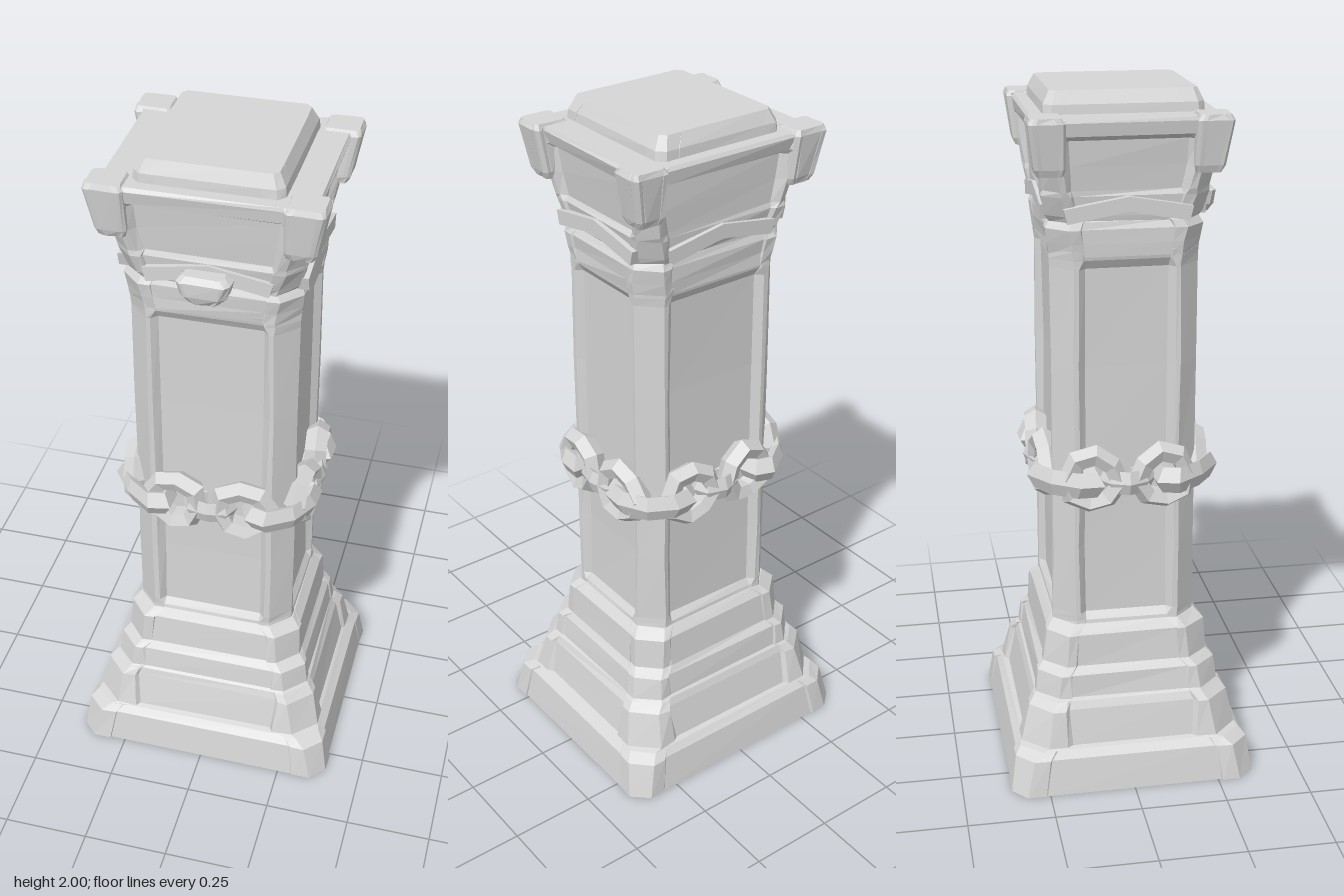
import * as THREE from 'three';

const stone = new THREE.MeshStandardMaterial({ color: 0xd6d6d6, flatShading: true });
stone.name = 'stone';

// Small repeatable unevenness for the hewn look
const rough = (a, b) => {
  const s = Math.sin(a * 12.9898 + b * 78.233) * 43758.5453;
  return (s - Math.floor(s) - 0.5) * 2;
};

// Rectangle with chamfered corner posts (c = chamfer, w = post width, d = side recess)
function ringPoints([y, hx, hz, c, w, d]) {
  const quad = [
    [hx - d, hz - w], [hx, hz - w + d], [hx, hz - c],
    [hx - c, hz], [hx - w + d, hz], [hx - w, hz - d],
  ];
  const pts = [];
  [[1, 1], [-1, 1], [-1, -1], [1, -1]].forEach(([sx, sz], q) => {
    const list = q % 2 ? [...quad].reverse() : quad;
    list.forEach(([x, z]) => pts.push([x * sx, y, z * sz]));
  });
  return pts;
}

// Skin a stack of rings and close both ends
function loft(rings, wobble = 0.003) {
  const n = 24, pos = [], idx = [];
  rings.forEach((r, k) => ringPoints(r).forEach(([x, y, z], i) => {
    pos.push(x + rough(k + 1, i) * wobble, y, z + rough(i + 7, k) * wobble);
  }));
  for (let k = 0; k < rings.length - 1; k++) {
    for (let i = 0; i < n; i++) {
      const a = k * n + i, b = k * n + (i + 1) % n;
      idx.push(a, a + n, b, b, a + n, b + n);
    }
  }
  const last = (rings.length - 1) * n, c0 = pos.length / 3;
  pos.push(0, rings[0][0], 0, 0, rings[rings.length - 1][0], 0);
  for (let i = 0; i < n; i++) {
    const j = (i + 1) % n;
    idx.push(c0, i, j, c0 + 1, last + j, last + i);
  }
  const g = new THREE.BufferGeometry();
  g.setAttribute('position', new THREE.Float32BufferAttribute(pos, 3));
  g.setIndex(idx);
  g.computeVertexNormals();
  return g;
}

function add(parent, name, geometry) {
  const m = new THREE.Mesh(geometry, stone);
  m.name = name;
  parent.add(m);
  return m;
}

// Chunky oval chain link: long and wide are half sizes in its own plane
function linkGeometry(long, wide, tube, seed) {
  const g = new THREE.TorusGeometry(1, 0.42, 5, 8);
  const p = g.attributes.position;
  for (let i = 0; i < p.count; i++) {
    const x = p.getX(i), y = p.getY(i), z = p.getZ(i);
    const k = 1 + 0.06 * Math.sin(3 * Math.atan2(y, x) + seed);
    p.setXYZ(i, x * long / 1.4 * k, y * wide / 1.4 * k, z * tube / 0.42);
  }
  g.computeVertexNormals();
  return g;
}

export function createModel() {
  const model = new THREE.Group();
  model.name = 'stonePillar';

  // Stepped base, hollow underneath
  add(model, 'steppedBase', loft([
    [0.25, 0.26, 0.23, 0.06, 0.09, 0],
    [0.13, 0.30, 0.27, 0.06, 0.09, 0],
    [0.12, 0.345, 0.315, 0.05, 0.09, 0],
    [0.005, 0.375, 0.345, 0.045, 0.09, 0],
    [0.005, 0.394, 0.361, 0.045, 0.10, 0.003],
    [0.11, 0.376, 0.344, 0.05, 0.10, 0.005],
    [0.13, 0.356, 0.324, 0.055, 0.10, 0.006],
    [0.135, 0.35, 0.318, 0.07, 0.14, 0.012],
    [0.24, 0.328, 0.294, 0.065, 0.11, 0.012],
    [0.262, 0.31, 0.278, 0.065, 0.10, 0.006],
    [0.268, 0.300, 0.269, 0.06, 0.10, 0.004],
    [0.335, 0.292, 0.26, 0.06, 0.09, 0.004],
    [0.355, 0.272, 0.242, 0.06, 0.09, 0.003],
    [0.45, 0.265, 0.233, 0.06, 0.09, 0.004],
    [0.475, 0.24, 0.21, 0.058, 0.09, 0],
  ]));

  // Shaft with corner posts and recessed panels
  add(model, 'shaft', loft([
    [0.46, 0.238, 0.208, 0.058, 0.085, 0],
    [0.485, 0.237, 0.207, 0.058, 0.088, 0.003],
    [0.505, 0.236, 0.207, 0.058, 0.09, 0.018],
    [0.72, 0.235, 0.206, 0.055, 0.088, 0.02],
    [0.95, 0.235, 0.206, 0.058, 0.09, 0.018],
    [1.25, 0.234, 0.205, 0.055, 0.088, 0.02],
    [1.53, 0.234, 0.205, 0.058, 0.09, 0.018],
    [1.555, 0.235, 0.206, 0.058, 0.088, 0.003],
    [1.58, 0.236, 0.207, 0.058, 0.085, 0],
  ], 0.002));

  // Collar under the capital
  add(model, 'collar', loft([
    [1.565, 0.235, 0.206, 0.058, 0.09, 0],
    [1.60, 0.241, 0.211, 0.058, 0.09, 0.003],
    [1.64, 0.245, 0.215, 0.055, 0.09, 0.004],
    [1.66, 0.236, 0.206, 0.055, 0.09, 0.004],
    [1.67, 0.215, 0.185, 0.055, 0.09, 0],
  ]));

  // Flared capital
  add(model, 'capital', loft([
    [1.655, 0.23, 0.205, 0.05, 0.08, 0.004],
    [1.675, 0.238, 0.215, 0.05, 0.08, 0.006],
    [1.73, 0.25, 0.226, 0.045, 0.08, 0.008],
    [1.745, 0.252, 0.228, 0.045, 0.08, 0.016],
    [1.81, 0.264, 0.239, 0.04, 0.08, 0.02],
    [1.88, 0.27, 0.243, 0.04, 0.08, 0.02],
    [1.895, 0.282, 0.252, 0.04, 0.08, 0.004],
    [1.93, 0.291, 0.262, 0.04, 0.08, 0.004],
    [1.94, 0.281, 0.252, 0.04, 0.08, 0],
  ], 0.004));

  // Bevelled slab on top
  add(model, 'topSlab', loft([
    [1.93, 0.2, 0.218, 0.02, 0.06, 0],
    [1.965, 0.196, 0.215, 0.02, 0.06, 0],
    [2.0, 0.178, 0.198, 0.015, 0.06, 0],
  ], 0.001));

  // Leaning blocks on the capital corners
  for (const sx of [-1, 1]) for (const sz of [-1, 1]) {
    const g = loft([
      [-0.08, 0.036, 0.034, 0.008, 0.02, 0],
      [-0.06, 0.043, 0.041, 0.008, 0.02, 0],
      [0.06, 0.053, 0.048, 0.008, 0.02, 0],
      [0.075, 0.046, 0.041, 0.008, 0.02, 0],
    ], 0.002);
    const p = g.attributes.position;
    for (let i = 0; i < p.count; i++) {
      p.setX(i, p.getX(i) + sx * p.getY(i) * 0.1);
      p.setZ(i, p.getZ(i) + sz * p.getY(i) * 0.08);
    }
    add(model, 'capitalCornerBlock', g).position.set(sx * 0.253, 1.872, sz * 0.217);
  }

  // Chevron ledge at the foot of the capital
  const chevron = new THREE.Shape([
    [-0.165, 1.66], [0, 1.69], [0.165, 1.66], [0.175, 1.70], [0, 1.73], [-0.175, 1.70],
  ].map(([x, y]) => new THREE.Vector2(x, y)));
  const chevronGeo = new THREE.ExtrudeGeometry(chevron, { depth: 0.028, bevelEnabled: false });

  for (let s = 0; s < 4; s++) {
    const face = s % 2 ? 0.235 : 0.206;
    const side = new THREE.Group();
    side.name = 'pillarSide';
    side.rotation.y = s * Math.PI / 2;
    model.add(side);

    add(side, 'chevronLedge', chevronGeo).position.z = face - 0.006;

    // Two upright links joined by a flat one
    for (const k of [-1, 1]) {
      const upright = add(side, 'uprightChainLink', linkGeometry(0.1, 0.1, 0.034, s + k));
      upright.position.set(k * 0.1, 0.93, face + 0.012);
      upright.rotation.set(0, k * 0.1, k * 0.12);
    }
    const flat = add(side, 'flatChainLink', linkGeometry(0.08, 0.056, 0.036, s));
    flat.position.set(0, 0.925, face + 0.004);
    flat.rotation.x = Math.PI / 2;
  }

  // Flat links wrapping the corners
  for (const sx of [-1, 1]) for (const sz of [-1, 1]) {
    const holder = new THREE.Group();
    holder.name = 'cornerChainLink';
    holder.position.set(sx * 0.2, 0.925, sz * 0.17);
    holder.rotation.y = sx * sz * Math.PI / 4;
    add(holder, 'cornerLink', linkGeometry(0.13, 0.07, 0.04, sx + sz)).rotation.x = Math.PI / 2;
    model.add(holder);
  }

  // Small bracket on the front of the capital
  const bracket = add(model, 'frontBracket', loft([
    [-0.045, 0.04, 0.022, 0.012, 0.02, 0],
    [-0.02, 0.062, 0.034, 0.014, 0.02, 0],
    [0.02, 0.072, 0.036, 0.014, 0.02, 0],
    [0.035, 0.055, 0.024, 0.012, 0.02, 0],
  ], 0.003));
  bracket.position.set(0, 1.68, 0.243);

  return model;
}
